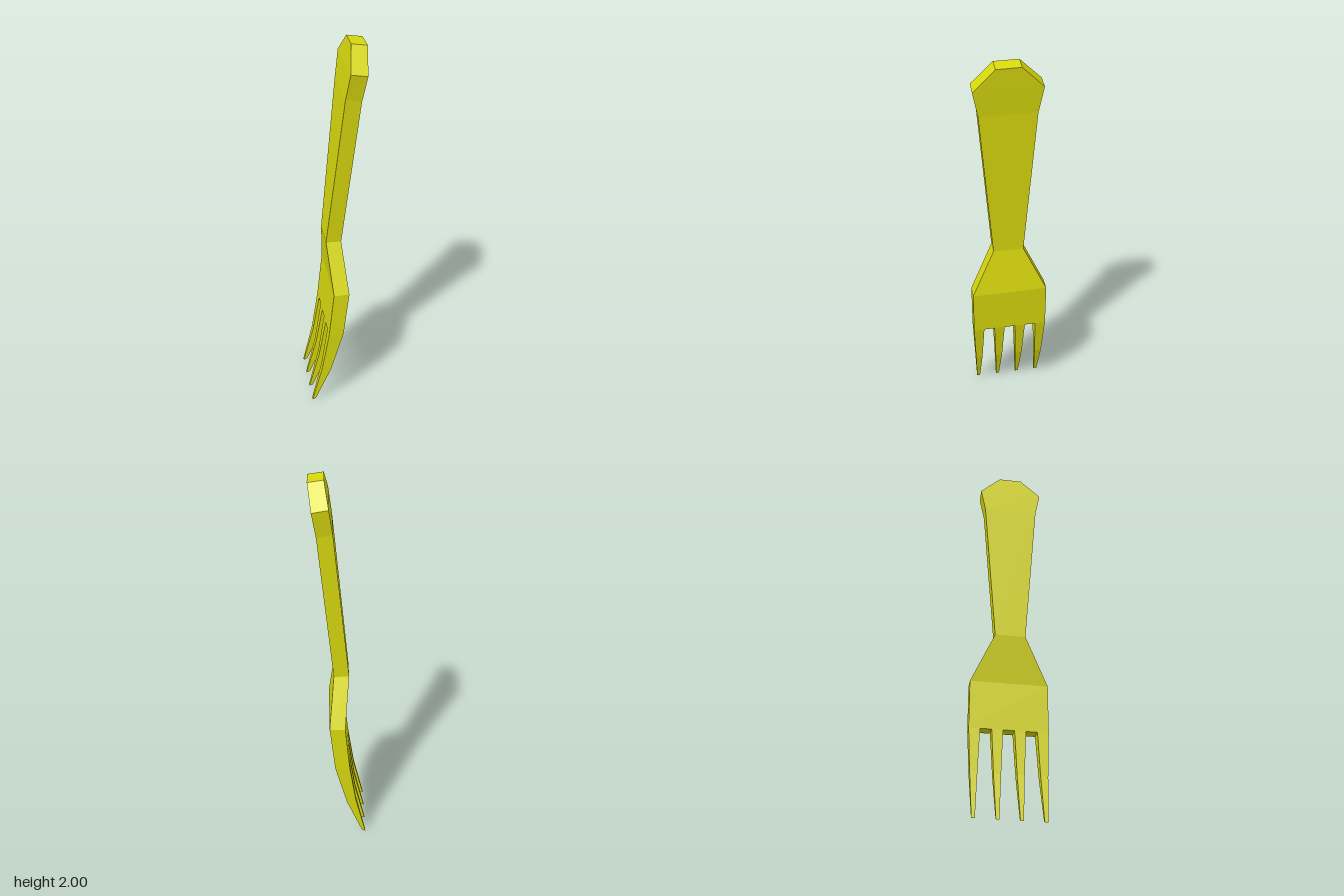
import * as THREE from 'three';

// Side profile stations: back edge x, y, front edge x, y (bottom to top)
const tip = [-0.142, 0.005, -0.124, 0.012];
const bend = [-0.088, 0.232, -0.04, 0.22];
const root = [-0.053, 0.46, 0.024, 0.462];
const bowl = [-0.028, 0.712, 0.052, 0.712];
const waist = [-0.05, 0.965, 0.028, 0.962];
const flare = [0.03, 1.765, 0.107, 1.75];
const shoulder = [0.048, 1.893, 0.128, 1.88];
const end = [0.068, 1.998, 0.145, 1.987];

// The whole fork leans and turns very slightly
const lean = (x, y, z) => [x - 0.042 * z, y - 0.03 * z, z + 0.042 * x + 0.016 * (y - 0.6)];

// Four corners of a cross-section spanning zc - half .. zc + half
function ring([bx, by, fx, fy], half, zc = 0) {
  const p = zc + half, n = zc - half;
  return [lean(bx, by, p), lean(fx, fy, p), lean(fx, fy, n), lean(bx, by, n)];
}

function quad(out, a, b, c, d) {
  out.push(...a, ...b, ...c, ...a, ...c, ...d);
}

// Side walls between successive rings
function walls(out, rings) {
  for (let s = 0; s < rings.length - 1; s++) {
    const lo = rings[s], hi = rings[s + 1];
    for (let i = 0; i < 4; i++) {
      const j = (i + 1) % 4;
      quad(out, lo[i], lo[j], hi[j], hi[i]);
    }
  }
}

function capDown(out, [a, b, c, d]) {
  quad(out, d, c, b, a);
}

function makeMesh(name, positions, material) {
  const g = new THREE.BufferGeometry();
  g.setAttribute('position', new THREE.Float32BufferAttribute(positions, 3));
  g.computeVertexNormals(); // unshared corners give flat faces
  const m = new THREE.Mesh(g, material);
  m.name = name;
  return m;
}

export function createModel() {
  const group = new THREE.Group();
  group.name = 'fork';
  const yellow = new THREE.MeshStandardMaterial({ color: 0xd8d80f });
  yellow.name = 'yellow';

  // Handle with chamfered end
  const handle = [];
  const handleRings = [ring(waist, 0.0775), ring(flare, 0.14), ring(shoulder, 0.165), ring(end, 0.06)];
  walls(handle, handleRings);
  quad(handle, ...handleRings[3]);
  group.add(makeMesh('handle', handle, yellow));

  // Head, with the floors of the three slots
  const head = [];
  walls(head, [ring(root, 0.195), ring(bowl, 0.195), ring(waist, 0.0775)]);
  const pitch = 0.1115;
  for (let i = -1; i <= 1; i++) capDown(head, ring(root, 0.028, i * pitch));
  group.add(makeMesh('head', head, yellow));

  // Four tapering tines
  for (let i = 0; i < 4; i++) {
    const tine = [], zc = (1.5 - i) * pitch;
    const rings = [ring(tip, 0.008, zc), ring(bend, 0.018, zc), ring(root, 0.0277, zc)];
    walls(tine, rings);
    capDown(tine, rings[0]);
    group.add(makeMesh('tine' + (i + 1), tine, yellow));
  }
  return group;
}
